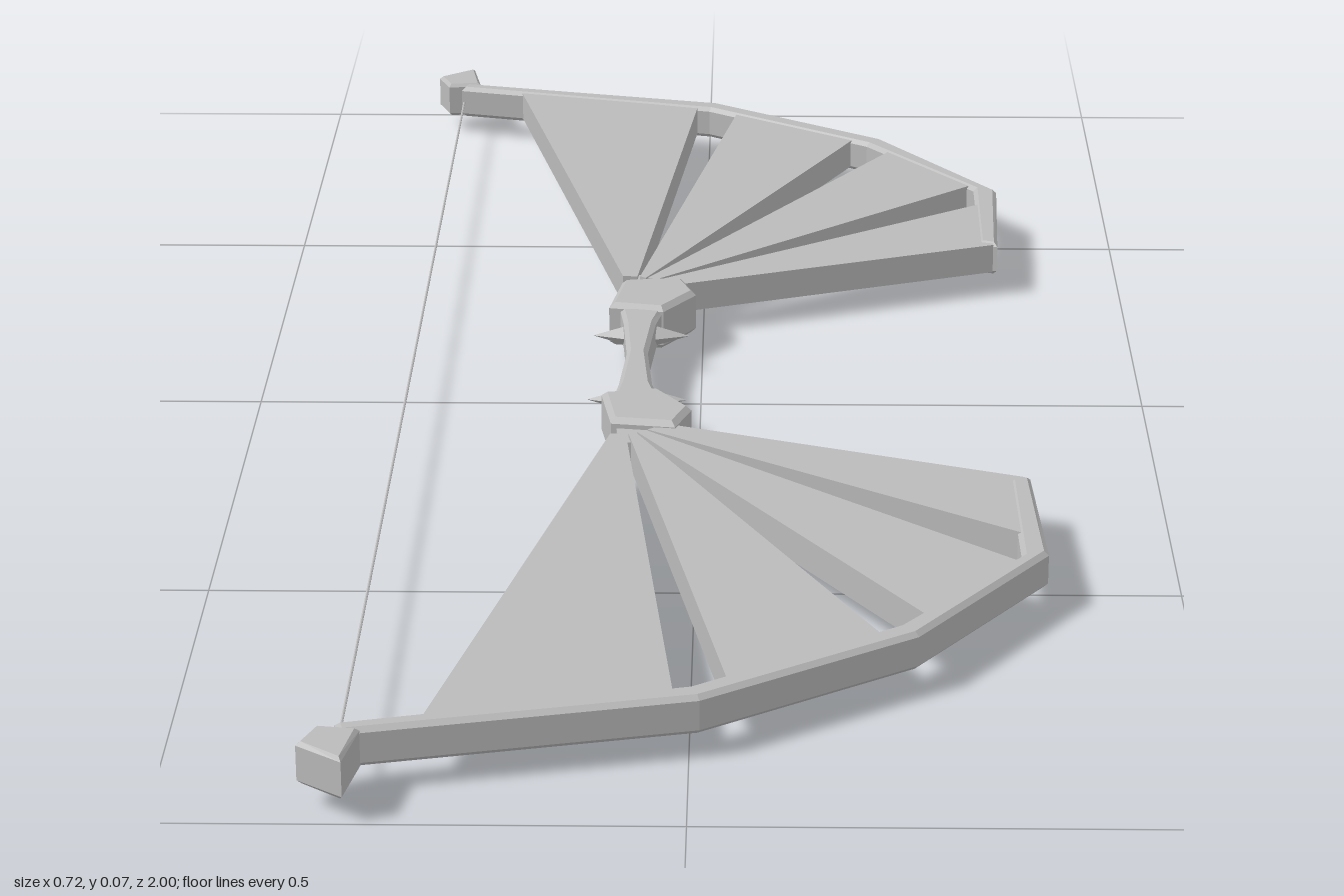
import * as THREE from 'three';

export function createModel() {
  const model = new THREE.Group();
  model.name = 'bow';
  const grey = new THREE.MeshStandardMaterial({ color: 0xbbbbbb, flatShading: true });
  grey.name = 'plain grey';

  const add = (parent, name, geometry) => {
    const mesh = new THREE.Mesh(geometry, grey);
    mesh.name = name;
    parent.add(mesh);
    return mesh;
  };

  // Upright prism over an [x, z] outline, with chamfered top and bottom edges
  const prism = (outline, y0, y1, bevel = 0) => {
    const shape = new THREE.Shape(outline.map(([x, z]) => new THREE.Vector2(x, z)));
    const g = new THREE.ExtrudeGeometry(shape, {
      depth: y1 - y0 - 2 * bevel, bevelEnabled: bevel > 0, bevelSegments: 1,
      bevelSize: bevel, bevelThickness: bevel, bevelOffset: -bevel,
    });
    g.rotateX(Math.PI / 2);
    return g.translate(0, y1 - bevel, 0);
  };

  const rim = [
    [-0.325, 0.94], [0.01, 0.865], [0.222, 0.725], [0.36, 0.535], [0.352, 0.345],
    [0.33, 0.352], [0.332, 0.54], [0.203, 0.705], [0.0, 0.84], [-0.33, 0.92],
  ];
  const blades = [
    [[-0.095, 0.235], [-0.078, 0.235], [-0.016, 0.845], [-0.25, 0.91]],
    [[-0.075, 0.235], [-0.068, 0.23], [0.187, 0.727], [0.037, 0.83]],
    [[-0.066, 0.23], [-0.056, 0.225], [0.33, 0.555], [0.232, 0.682]],
    [[-0.055, 0.223], [-0.035, 0.207], [0.347, 0.345], [0.342, 0.49]],
  ];
  const tip = [[-0.317, 0.998], [-0.362, 0.965], [-0.347, 0.928], [-0.305, 0.934]];
  const hub = [[-0.095, 0.21], [-0.025, 0.22], [-0.008, 0.172], [-0.045, 0.118], [-0.108, 0.13]];
  const neck = [[-0.09, 0.2], [-0.035, 0.2], [-0.055, 0.25], [-0.085, 0.25]];

  // Two mirrored limbs
  for (const s of [1, -1]) {
    const limb = new THREE.Group();
    limb.name = s > 0 ? 'frontLimb' : 'backLimb';
    model.add(limb);
    const flip = (pts) => pts.map(([x, z]) => [x, z * s]);

    add(limb, 'rim', prism(flip(rim), 0.025, 0.066, 0.005));
    blades.forEach((b, i) => add(limb, 'blade' + (i + 1), prism(flip(b), 0.029, 0.064)));
    add(limb, 'tip', prism(flip(tip), 0.023, 0.067, 0.004));
    add(limb, 'hub', prism(flip(hub), 0.018, 0.071, 0.006));
    add(limb, 'neck', prism(flip(neck), 0.03, 0.06));

    // Downward stud under the hub
    const stud = add(limb, 'stud', new THREE.ConeGeometry(0.029, 0.02, 8));
    stud.rotation.x = Math.PI;
    stud.position.set(-0.065, 0.01, 0.163 * s);

    // Sideways spikes at the end of the grip
    for (const d of [1, -1]) {
      const spike = add(limb, 'spike', new THREE.ConeGeometry(0.014, 0.045, 4));
      spike.rotation.z = -d * Math.PI / 2;
      spike.position.set(-0.07 + d * 0.033, 0.045, 0.095 * s);
    }
  }

  // Waisted grip
  add(model, 'grip', prism([
    [-0.095, 0.13], [-0.09, 0.09], [-0.084, 0], [-0.09, -0.09], [-0.095, -0.13],
    [-0.045, -0.13], [-0.053, -0.09], [-0.06, 0], [-0.053, 0.09], [-0.045, 0.13],
  ], 0.026, 0.066, 0.005));

  // String between the tips
  const string = add(model, 'string', new THREE.CylinderGeometry(0.0015, 0.0015, 1.89, 6));
  string.rotation.x = Math.PI / 2;
  string.position.set(-0.327, 0.045, 0);

  return model;
}
